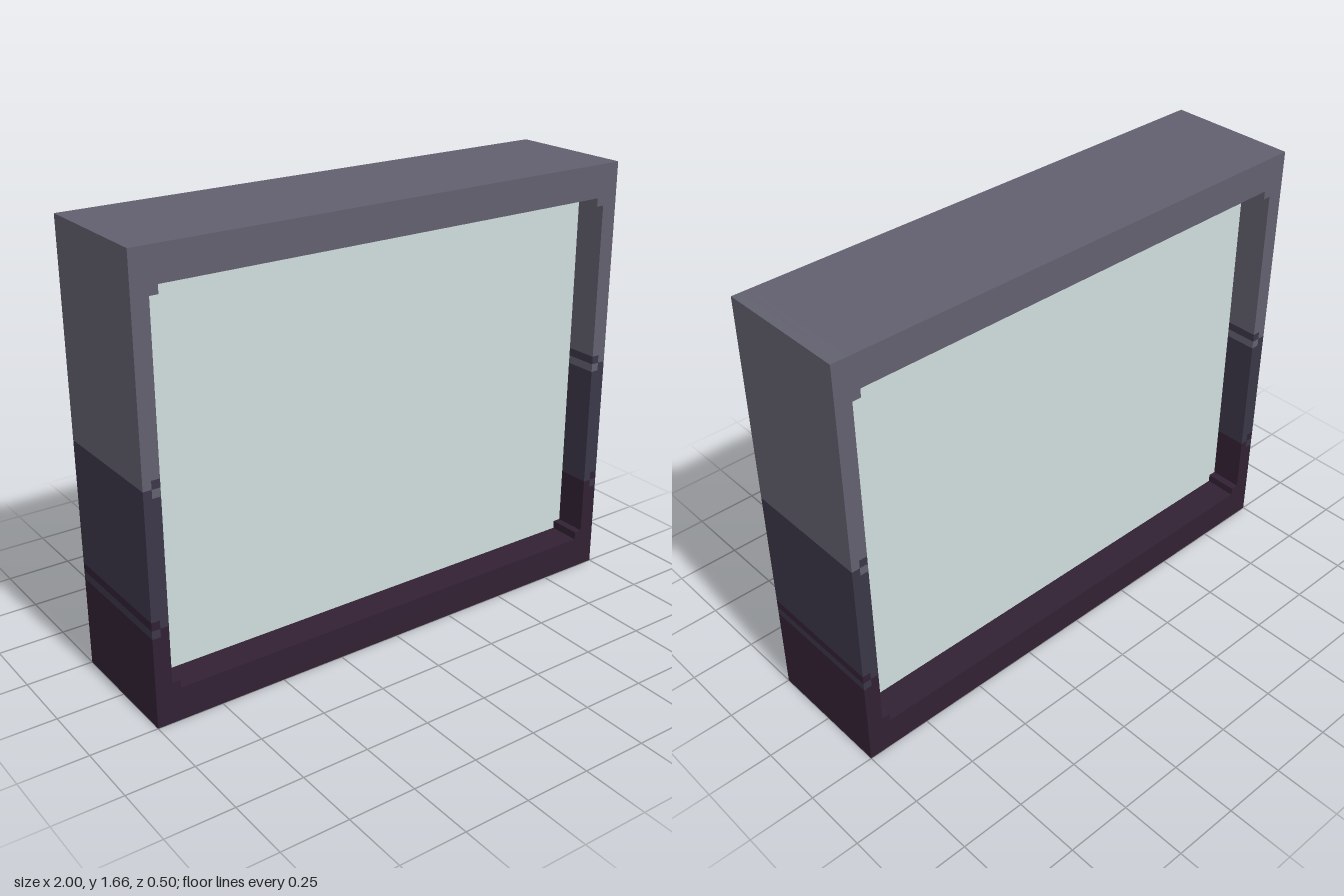
import * as THREE from 'three';

const U = 1 / 32; // one grid cell: the block is 64 x 53 x 16 cells

const mat = (color) => new THREE.MeshStandardMaterial({ color });

export function createModel() {
  const model = new THREE.Group();
  model.name = 'framedWindowBlock';
  const upper = mat(0x62606e), middle = mat(0x3b3748), lower = mat(0x322134), glass = mat(0xcfdddc);

  // Box spanning x0..x1 and y0..y1 in cells, centred on z
  const block = (name, material, x0, x1, y0, y1, depth = 16) => {
    const mesh = new THREE.Mesh(new THREE.BoxGeometry((x1 - x0) * U, (y1 - y0) * U, depth * U), material);
    mesh.position.set((x0 + x1) / 2 * U, (y0 + y1) / 2 * U, 0);
    mesh.name = name;
    model.add(mesh);
  };

  // Top and bottom rails
  block('topRail', upper, -30, 30, 49, 53);
  block('bottomRail', lower, -30, 30, 0, 4);

  // Side posts: two strips each, with interleaved colour bands [material, bottom, top]
  const outerBands = [[lower, 0, 11], [middle, 11, 12], [lower, 12, 13], [middle, 13, 28], [upper, 28, 53]];
  const innerBands = [[lower, 0, 12], [middle, 12, 27], [upper, 27, 28], [middle, 28, 29], [upper, 29, 53]];
  for (const s of [-1, 1]) {
    const side = s > 0 ? 'left' : 'right';
    const strip = (name, material, a, b, y0, y1) =>
      block(side + name, material, Math.min(s * a, s * b), Math.max(s * a, s * b), y0, y1);
    for (const [m, y0, y1] of outerBands) strip('OuterPost', m, 31, 32, y0, y1);
    for (const [m, y0, y1] of innerBands) strip('InnerPost', m, 30, 31, y0, y1);
    // Small steps in the corners of the opening
    strip('BottomCorner', lower, 29, 30, 4, 5);
    strip('TopCorner', upper, 29, 30, 48, 49);
  }

  // Pane, set back equally from front and back
  block('pane', glass, -30, 30, 4, 49, 8);
  return model;
}
